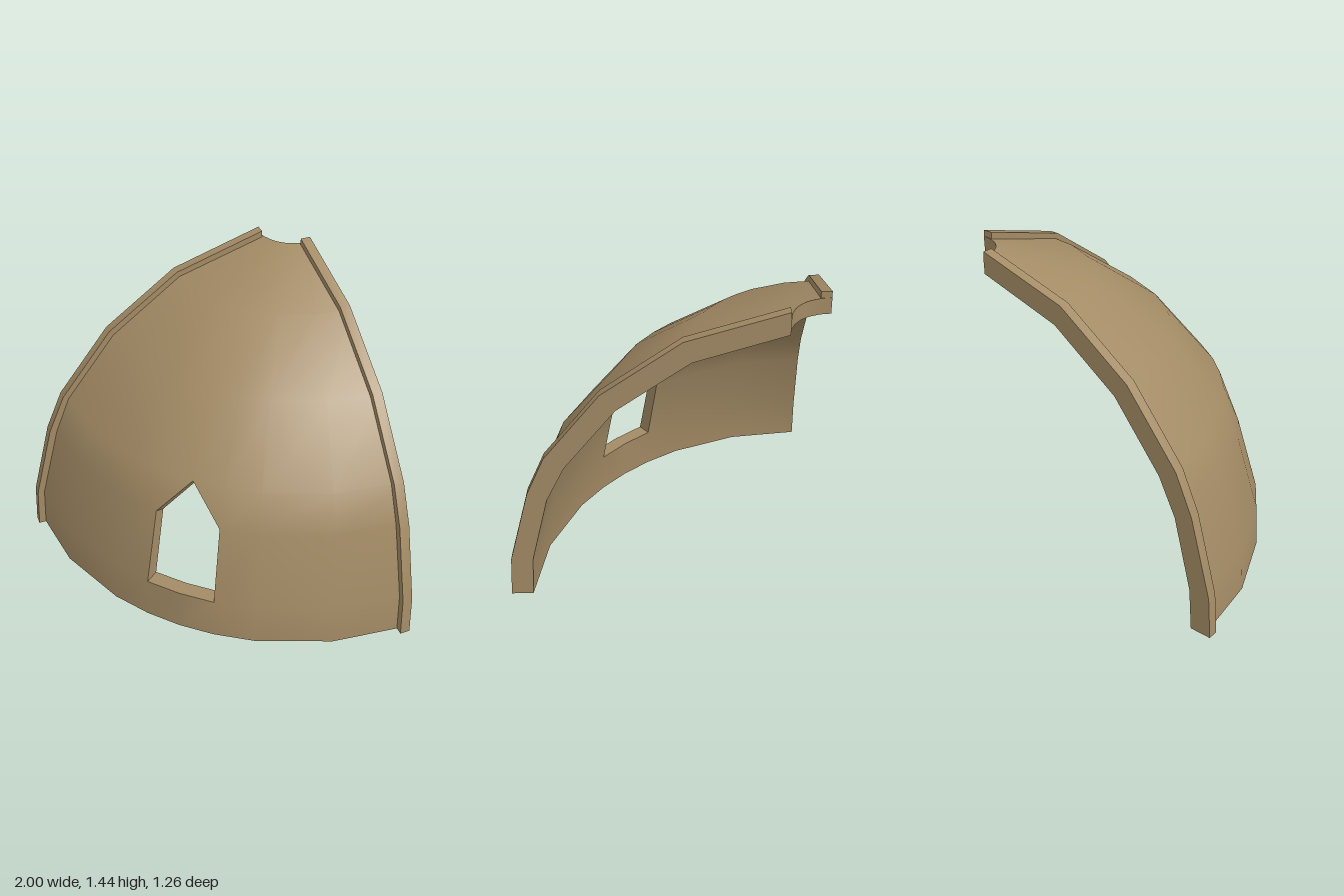
import * as THREE from 'three';
import { toCreasedNormals } from 'three/addons/utils/BufferGeometryUtils.js';

// Profiles as [radius, height], measured around a vertical axis at the back
const AXIS_Z = -0.76;
const OUTER = [[1.386, 0], [1.373, 0.2], [1.272, 0.56], [1.196, 0.737], [0.95, 1.042], [0.61, 1.285], [0.182, 1.412]];
const INNER = [[1.315, 0], [1.301, 0.2], [1.216, 0.53], [1.131, 0.7], [0.898, 0.99], [0.58, 1.215], [0.184, 1.338]];
const RIB = [[1.414, 0], [1.4, 0.2], [1.3, 0.565], [1.216, 0.75], [0.962, 1.065], [0.615, 1.31], [0.184, 1.44]];
const ANGLES = [-45, -30, -15, -7, 0, 7, 15, 30, 45].map(THREE.MathUtils.degToRad);
const ROWS = OUTER.length - 1;
const COLS = ANGLES.length - 1;
const MID = COLS / 2;

function point([r, y], angle) {
  return [r * Math.sin(angle), y, r * Math.cos(angle) + AXIS_Z];
}

// Curved skin with the pointed window left open
function skin(profile, inward) {
  const positions = profile.flatMap(p => ANGLES.flatMap(a => point(p, a)));
  const index = [];
  const tri = (a, b, c) => index.push(...(inward ? [a, c, b] : [a, b, c]));
  for (let i = 0; i < ROWS; i++) {
    for (let j = 0; j < COLS; j++) {
      const a = i * (COLS + 1) + j, b = a + 1, d = a + COLS + 1, c = d + 1;
      const inWindow = j === MID - 1 || j === MID;
      if (inWindow && i === 1) continue;
      if (inWindow && i === 2) {
        // Sloping head of the window
        if (j < MID) tri(a, c, d);
        else tri(b, c, d);
        continue;
      }
      tri(a, b, c);
      tri(a, c, d);
    }
  }
  const geometry = new THREE.BufferGeometry();
  geometry.setAttribute('position', new THREE.Float32BufferAttribute(positions, 3));
  geometry.setIndex(index);
  geometry.computeVertexNormals();
  return geometry;
}

function fromQuads(quads) {
  const positions = quads.flatMap(([a, b, c, d]) => [a, b, c, a, c, d].flat());
  const geometry = new THREE.BufferGeometry();
  geometry.setAttribute('position', new THREE.Float32BufferAttribute(positions, 3));
  return toCreasedNormals(geometry, 0.6);
}

// Wall joining both skins along a closed loop of [row, column] nodes
function edgeWall(loop) {
  return fromQuads(loop.map(([i, j], k) => {
    const [m, n] = loop[(k + 1) % loop.length];
    return [point(OUTER[i], ANGLES[j]), point(OUTER[m], ANGLES[n]),
      point(INNER[m], ANGLES[n]), point(INNER[i], ANGLES[j])];
  }));
}

// Raised rib along one cut edge; side is +1 or -1
function rib(side) {
  const thickness = 0.047, h = Math.SQRT1_2;
  const sections = RIB.map(([r, y], i) => {
    const rIn = THREE.MathUtils.lerp(OUTER[i][0], INNER[i][0], 0.3);
    const yIn = THREE.MathUtils.lerp(OUTER[i][1], INNER[i][1], 0.3);
    const at = (radius, height, t) =>
      [side * h * (radius - t), height, h * (radius + t) + AXIS_Z];
    return [at(rIn, yIn, 0), at(r, y, 0), at(r, y, thickness), at(rIn, yIn, thickness)];
  });
  const quads = [[...sections[0]].reverse(), sections[ROWS]];
  for (let i = 0; i < ROWS; i++) {
    for (let k = 0; k < 4; k++) {
      const n = (k + 1) % 4;
      quads.push([sections[i][k], sections[i][n], sections[i + 1][n], sections[i + 1][k]]);
    }
  }
  return fromQuads(side > 0 ? quads.map(q => [...q].reverse()) : quads);
}

export function createModel() {
  const group = new THREE.Group();
  group.name = 'domeQuarter';
  const clay = new THREE.MeshStandardMaterial({ color: 0xa38b65 });
  clay.name = 'tan clay';
  const add = (name, geometry) => {
    const mesh = new THREE.Mesh(geometry, clay);
    mesh.name = name;
    group.add(mesh);
  };

  // Shell
  add('outerShell', skin(OUTER, false));
  add('innerShell', skin(INNER, true));

  // Shell border: left cut, top opening, right cut, base
  const border = [];
  for (let i = 0; i < ROWS; i++) border.push([i, 0]);
  for (let j = 0; j < COLS; j++) border.push([ROWS, j]);
  for (let i = ROWS; i > 0; i--) border.push([i, COLS]);
  for (let j = COLS; j > 0; j--) border.push([0, j]);
  add('shellBorder', edgeWall(border));

  // Window reveal: sill, jambs and pointed head
  add('windowReveal', edgeWall([
    [1, MID - 1], [1, MID], [1, MID + 1], [2, MID + 1], [3, MID], [2, MID - 1],
  ]));

  // Ribs on the two cut edges
  add('leftRib', rib(1));
  add('rightRib', rib(-1));
  return group;
}
